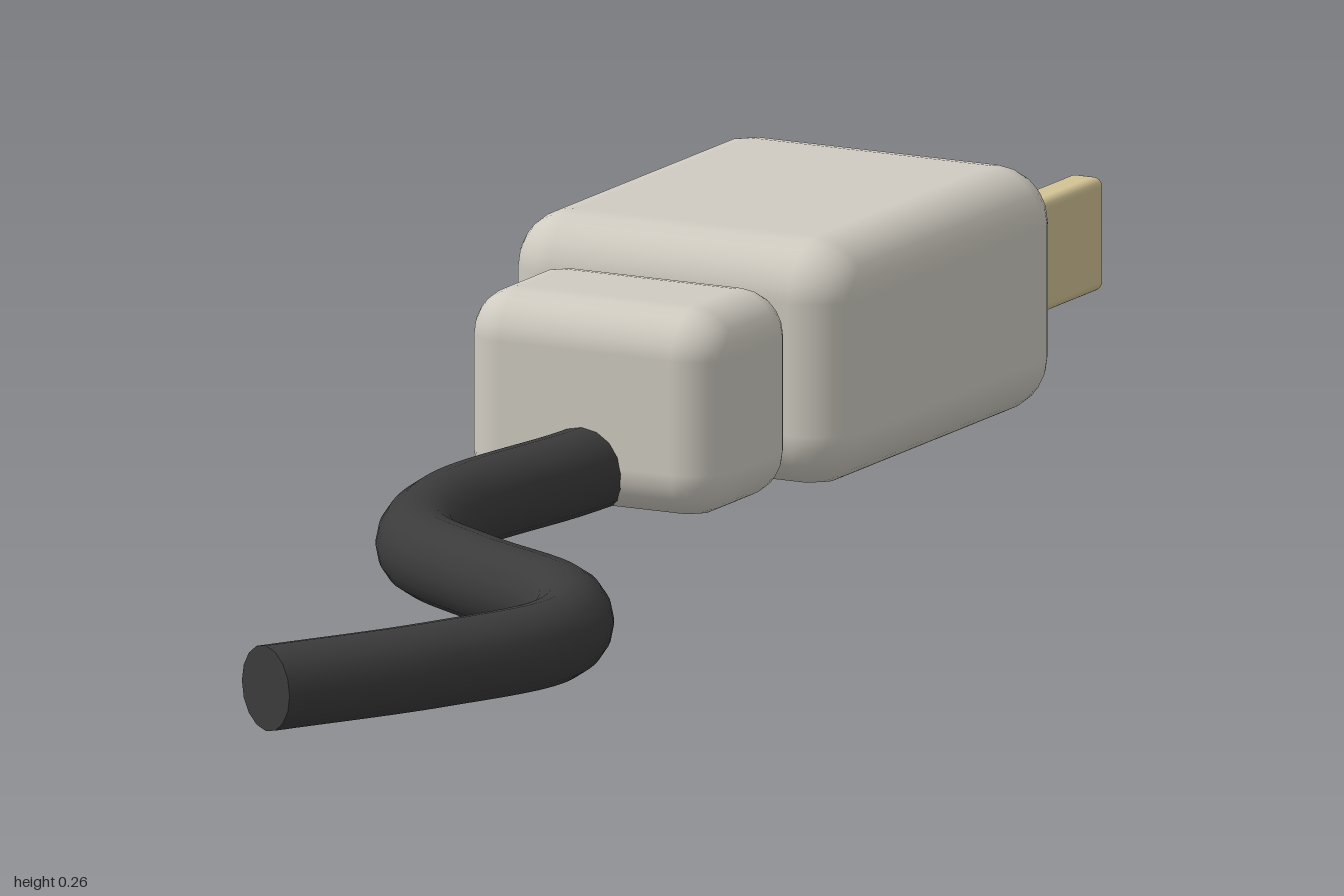
import * as THREE from 'three';
import { RoundedBoxGeometry } from 'three/addons/geometries/RoundedBoxGeometry.js';

const paint = (name, color) => {
  const m = new THREE.MeshStandardMaterial({ color });
  m.name = name;
  return m;
};

export function createModel() {
  const group = new THREE.Group();
  group.name = 'powerPlug';
  const shell = paint('warm grey plastic', 0xcfcbc1);
  const rubber = paint('dark rubber', 0x3b3b3b);
  const brass = paint('pale brass', 0xd2c294);

  const add = (name, geometry, material) => {
    const mesh = new THREE.Mesh(geometry, material);
    mesh.name = name;
    group.add(mesh);
    return mesh;
  };
  const block = (name, size, position, radius, material) =>
    add(name, new RoundedBoxGeometry(...size, 3, radius), material).position.set(...position);

  // Housing and strain-relief collar
  block('plugBody', [0.4, 0.26, 0.5], [-0.1, 0.13, -0.52], 0.06, shell);
  block('collar', [0.3, 0.22, 0.19], [-0.1, 0.11, -0.183], 0.05, shell);

  // Pair of flat contact blades, rooted inside the housing
  for (const [name, x] of [['rightProng', -0.2], ['leftProng', 0]]) {
    block(name, [0.04, 0.12, 0.3], [x, 0.13, -0.85], 0.01, brass);
  }

  // Winding cable lying flat on the ground
  const r = 0.045;
  const path = new THREE.CatmullRomCurve3([
    [-0.1, -0.14], [-0.106, -0.06], [-0.129, 0.16], [-0.07, 0.325], [0.05, 0.415],
    [0.19, 0.5], [0.253, 0.64], [0.2, 0.8], [0.1, 0.982],
  ].map(([x, z]) => new THREE.Vector3(x, r, z)));
  add('cable', new THREE.TubeGeometry(path, 64, r, 16), rubber);

  // Flat discs closing the cable ends
  for (const [name, t, sign] of [['cableRootCap', 0, -1], ['cableEndCap', 1, 1]]) {
    const cap = add(name, new THREE.CircleGeometry(r, 16), rubber);
    const dir = path.getTangentAt(t).multiplyScalar(sign);
    cap.position.copy(path.getPointAt(t));
    cap.lookAt(cap.position.clone().add(dir));
  }
  return group;
}
